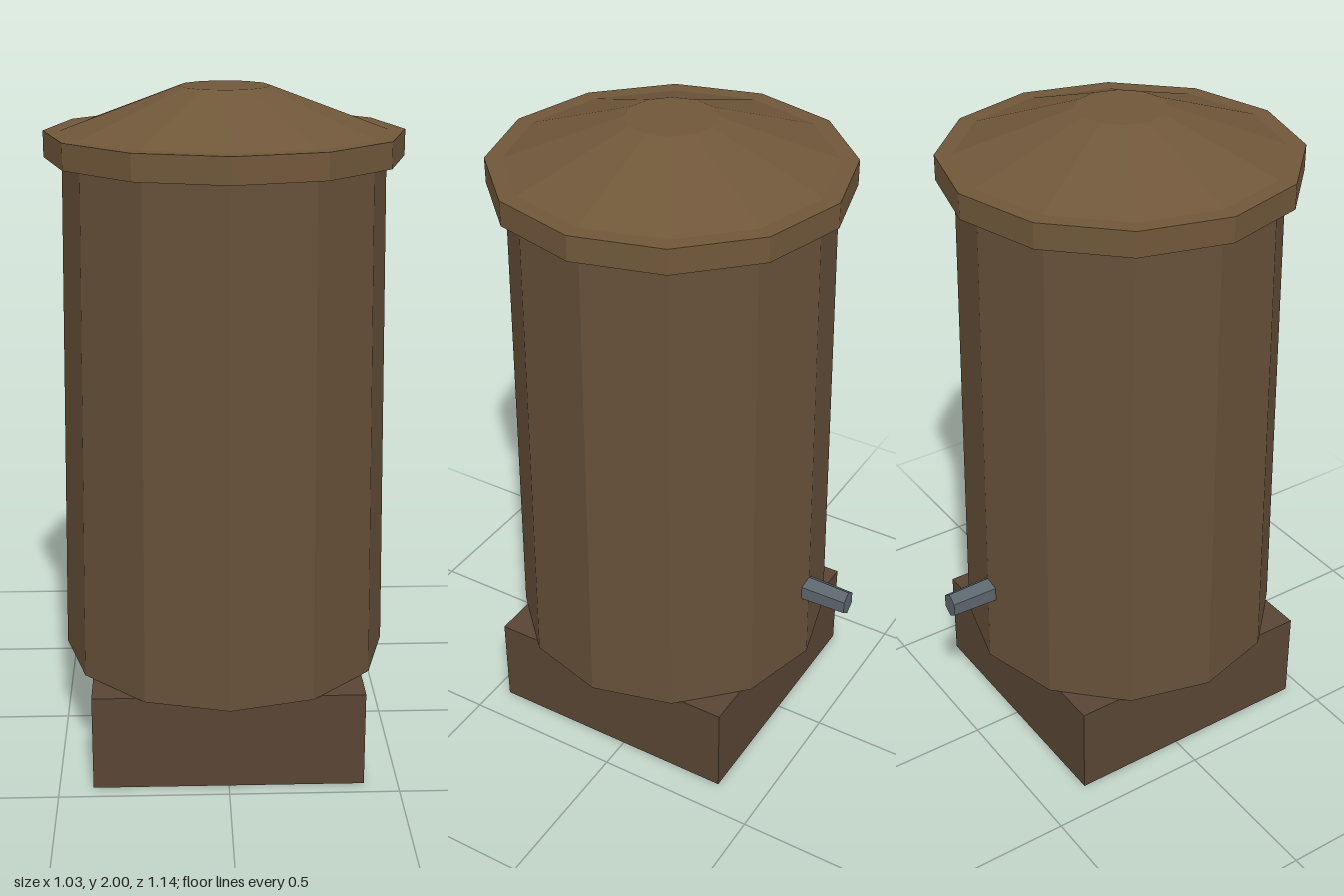
import * as THREE from 'three';

const paint = (color) => new THREE.MeshStandardMaterial({ color, flatShading: true });

export function createModel() {
  const group = new THREE.Group();
  const axisZ = 0.05; // the barrel axis sits forward because the spout sticks out behind
  const sides = 12;

  const add = (name, geometry, material, y, z = axisZ) => {
    const mesh = new THREE.Mesh(geometry, material);
    mesh.name = name;
    mesh.position.set(0, y, z);
    group.add(mesh);
    return mesh;
  };
  // Twelve-sided tapered drum between two heights
  const drum = (name, rTop, rBottom, y0, y1, material) =>
    add(name, new THREE.CylinderGeometry(rTop, rBottom, y1 - y0, sides), material, (y0 + y1) / 2);

  const baseMaterial = paint(0x594534);
  const bodyMaterial = paint(0x665039);
  const lidMaterial = paint(0x70573a);
  const metalMaterial = paint(0x5c666d);

  // Square plinth
  add('base', new THREE.BoxGeometry(0.8, 0.29, 0.8), baseMaterial, 0.145);

  // Barrel, lid rim and shallow conical lid
  drum('barrel', 0.465, 0.49, 0.29, 1.8, bodyMaterial);
  drum('lidRim', 0.517, 0.517, 1.8, 1.875, lidMaterial);
  drum('lid', 0.13, 0.467, 1.875, 2, lidMaterial);

  // Hexagonal tapered spout at the back, narrower than it is tall
  const spout = new THREE.CylinderGeometry(0.04, 0.046, 0.2, 6);
  spout.rotateX(-Math.PI / 2).scale(0.82, 1, 1);
  add('spout', spout, metalMaterial, 0.545, -0.47);

  return group;
}
